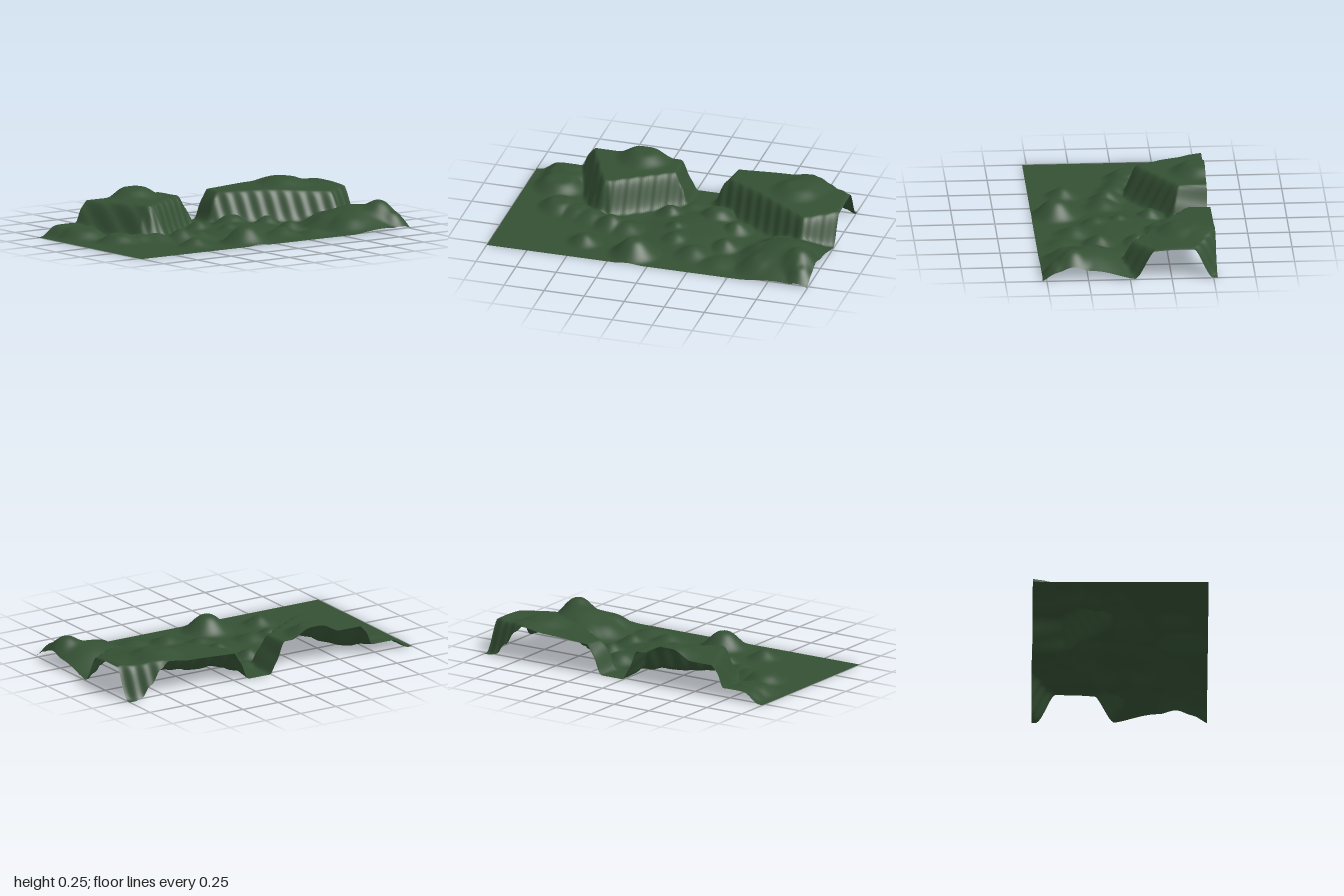
import * as THREE from 'three';

// Mid-slope outlines [x, z] of the two raised plateaus
const frontPlateau = [[-0.9, 0.86], [-0.52, 0.69], [-0.13, 0.515], [-0.09, 0.48], [-0.085, 0.42], [-0.33, 0.035], [-0.52, 0.05], [-0.9, 0.1]];
const backPlateau = [[-0.9, -0.21], [-0.52, -0.21], [-0.38, -0.19], [-0.33, -0.26], [0.025, -0.82], [-0.12, -1.04], [-0.41, -1.04], [-0.56, -0.77], [-0.9, -0.6]];

// Mounds: x, z, radius, height, flat core radius
const mounds = [
  // Apron in front of the front plateau
  [-0.56, 0.79, 0.19, 0.058, 0.08], [-0.45, 0.79, 0.18, 0.05, 0.08], [-0.34, 0.8, 0.18, 0.058, 0.06],
  [-0.08, 0.72, 0.15, 0.052, 0.04], [-0.04, 0.6, 0.13, 0.042, 0.02],
  // Chain beside the front plateau
  [0.0, 0.5, 0.14, 0.045, 0], [0.06, 0.36, 0.13, 0.066, 0], [0.09, 0.25, 0.13, 0.045, 0],
  // Gently raised valley floor and its small mounds
  [0.02, -0.14, 0.34, 0.03, 0.08], [-0.18, 0.06, 0.11, 0.056, 0], [0.01, -0.03, 0.11, 0.055, 0],
  [0.15, -0.07, 0.13, 0.055, 0], [-0.22, -0.22, 0.14, 0.06, 0.02], [0.29, -0.22, 0.14, 0.052, 0],
  [-0.08, -0.38, 0.12, 0.06, 0], [0.15, -0.38, 0.12, 0.058, 0], [0.37, -0.4, 0.14, 0.032, 0],
  [-0.3, -0.04, 0.1, 0.02, 0],
  // Right-hand hills
  [0.38, 0.12, 0.17, 0.1, 0.02], [0.32, 0.45, 0.12, 0.056, 0],
  // Long rise and shoulders at the back right, up to the corner hill
  [0.24, -0.8, 0.37, 0.126, 0.02], [0.2, -0.64, 0.19, 0.075, 0.03], [0.35, -0.67, 0.19, 0.08, 0.03],
  [0.08, -0.7, 0.18, 0.07, 0.03], [0.34, -0.9, 0.2, 0.156, 0.01], [0.43, -0.93, 0.13, 0.09, 0.02],
];

// Signed distance to a polygon, positive inside
function insideDistance(x, z, poly) {
  let best = Infinity, inside = false;
  poly.forEach(([ax, az], i) => {
    const [bx, bz] = poly[(i + 1) % poly.length];
    const ex = bx - ax, ez = bz - az;
    const t = THREE.MathUtils.clamp(((x - ax) * ex + (z - az) * ez) / (ex * ex + ez * ez), 0, 1);
    best = Math.min(best, Math.hypot(x - ax - t * ex, z - az - t * ez));
    if ((az > z) !== (bz > z) && x < ax + ((z - az) / ez) * ex) inside = !inside;
  });
  return inside ? best : -best;
}

const step = THREE.MathUtils.smoothstep;

// Plateau with lightly fluted cliffs
function plateau(x, z, poly, height) {
  const flutes = 0.004 * Math.sin(z * 85);
  return height * step(insideDistance(x, z, poly) + flutes, -0.06, 0.055);
}

function mound(x, z, [cx, cz, radius, height, core]) {
  return height * (1 - step(Math.hypot(x - cx, z - cz), core, radius));
}

// Smooth maximum, so shapes melt together where they meet
const blend = (...heights) => heights.reduce((sum, h) => sum + h ** 5, 0) ** 0.2;

function terrainHeight(x, z) {
  const ground = blend(...mounds.map((m) => mound(x, z, m)));
  // Plateau tops carry broad low domes
  const front = plateau(x, z, frontPlateau, 0.19) + mound(x, z, [-0.48, 0.315, 0.18, 0.056, 0.05]);
  const backTop = 0.176 + 0.016 * step(-z, 0.2, 0.6) * step(-x, 0.02, 0.3);
  const back = plateau(x, z, backPlateau, backTop)
    + blend(mound(x, z, [-0.33, -0.69, 0.18, 0.041, 0.05]), mound(x, z, [-0.43, -0.73, 0.18, 0.03, 0.03]))
      * step(insideDistance(x, z, backPlateau), 0, 0.06);
  return blend(ground, front, back);
}

export function createModel() {
  const green = new THREE.MeshStandardMaterial({ color: 0x345034, side: THREE.DoubleSide });
  green.name = 'grass green';

  // Open ground sheet raised by the height rule
  const geometry = new THREE.PlaneGeometry(1.05, 2, 110, 210).rotateX(-Math.PI / 2);
  const p = geometry.attributes.position;
  for (let i = 0; i < p.count; i++) p.setY(i, terrainHeight(p.getX(i), p.getZ(i)));
  geometry.computeVertexNormals();

  const terrain = new THREE.Mesh(geometry, green);
  terrain.name = 'terrain';
  const model = new THREE.Group();
  model.name = 'landscape';
  model.add(terrain);
  return model;
}
